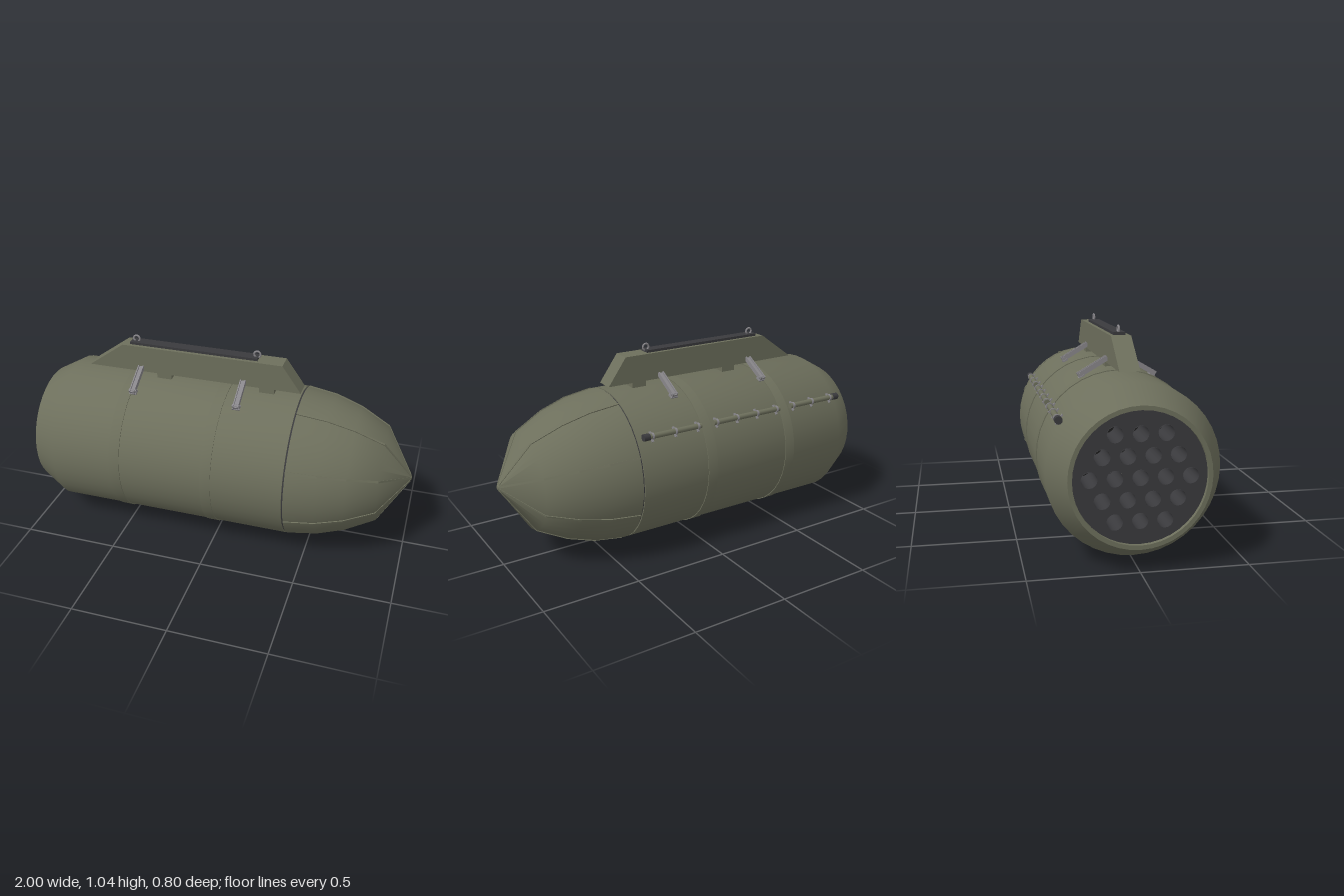
import * as THREE from 'three';
import { toCreasedNormals } from 'three/addons/utils/BufferGeometryUtils.js';

const mat = (color) => new THREE.MeshStandardMaterial({ color, side: THREE.DoubleSide });
const CY = 0.425; // height of the pod's axis
const R = 0.398;  // body radius

export function createModel() {
  const model = new THREE.Group();
  const olive = mat(0x6d6f5c), dark = mat(0x3a3a3d), steel = mat(0x88868a), black = mat(0x1c1c1c);

  const add = (name, geo, material, x = 0, y = 0, z = 0, parent = model) => {
    const m = new THREE.Mesh(geo, material);
    m.name = name;
    m.position.set(x, y, z);
    parent.add(m);
    return m;
  };
  const box = (w, h, d) => new THREE.BoxGeometry(w, h, d);
  // Profile of [x, radius] turned around the long axis
  const turned = (name, pts, material, segments = 40) => {
    const g = new THREE.LatheGeometry(pts.map(([x, r]) => new THREE.Vector2(r, x)), segments);
    g.rotateZ(-Math.PI / 2);
    return add(name, toCreasedNormals(g, 0.6), material, 0, CY, 0);
  };
  // Cylinder lying along x
  const rod = (r, length, sides = 12) => new THREE.CylinderGeometry(r, r, length, sides).rotateZ(Math.PI / 2);

  // Body with recessed rear lip, and nose fairing
  turned('body', [[-0.975, 0.3], [-1, 0.3], [-1, 0.32], [-0.86, R], [0.397, R], [0.397, 0.38]], olive);
  const nose = [[0.405, R], [0.56, 0.375], [0.7, 0.329], [0.85, 0.25], [0.995, 0.015]];
  turned('nose', [[0.405, 0.38], ...nose, [1, 0.01], [1, 0]], olive);
  turned('noseSeam', [[0.395, 0.392], [0.407, 0.392]], dark);

  // Thin ribs along the nose
  const ribShape = new THREE.Shape();
  nose.forEach(([x, r], i) => (i ? ribShape.lineTo(x, r + 0.004) : ribShape.moveTo(x, r + 0.004)));
  [...nose].reverse().forEach(([x, r]) => ribShape.lineTo(x, Math.max(r - 0.012, 0)));
  const ribGeo = new THREE.ExtrudeGeometry(ribShape, { depth: 0.01, bevelEnabled: false }).translate(0, 0, -0.005);
  for (let i = 0; i < 8; i++) {
    add('noseRib', ribGeo, olive, 0, CY, 0).rotation.x = (i + 0.5) * Math.PI / 4;
  }

  // Reinforcing bands with a lug beneath each
  for (const x of [-0.503, -0.003]) {
    turned('band', [[x - 0.028, 0.39], [x - 0.028, 0.402], [x + 0.028, 0.402], [x + 0.028, 0.39]], olive);
    add('bottomLug', box(0.075, 0.035, 0.05), steel, x, 0.0175, 0);
  }

  // Rear plate with a hexagonal pattern of launch tubes
  const plate = new THREE.Shape().absarc(0, 0, 0.302, 0, Math.PI * 2);
  const centres = [];
  for (let row = -2; row <= 2; row++) {
    const n = 5 - Math.abs(row);
    for (let i = 0; i < n; i++) centres.push([(i - (n - 1) / 2) * 0.112, row * 0.097]);
  }
  for (const [u, v] of centres) plate.holes.push(new THREE.Path().absarc(u, v, 0.036, 0, Math.PI * 2, true));
  const plateGeo = new THREE.ExtrudeGeometry(plate, { depth: 0.02, bevelEnabled: false, curveSegments: 20 });
  add('rearPlate', plateGeo.rotateY(-Math.PI / 2), dark, -0.96, CY, 0);
  const tubeGeo = new THREE.CylinderGeometry(0.036, 0.036, 0.2, 16, 1, true).rotateZ(Math.PI / 2);
  const endGeo = new THREE.CircleGeometry(0.036, 16).rotateY(-Math.PI / 2);
  for (const [u, v] of centres) {
    add('launchTube', tubeGeo, dark, -0.885, CY + v, u);
    add('launchTubeEnd', endGeo, black, -0.79, CY + v, u);
  }

  // Pylon, its feet and the top rail
  const side = new THREE.Shape([[-0.76, 0.85], [0.4, 0.85], [0.3, 0.99], [-0.565, 0.99]].map((p) => new THREE.Vector2(...p)));
  add('pylon', new THREE.ExtrudeGeometry(side, { depth: 0.096, bevelEnabled: false }), olive, 0, 0, -0.048);
  for (const x of [-0.34, 0.22]) add('pylonFoot', box(0.08, 0.05, 0.08), olive, x, 0.83, 0);
  add('topRail', box(0.695, 0.016, 0.058), dark, -0.183, 0.995, 0);
  for (const x of [-0.502, 0.157]) {
    add('liftingEye', new THREE.TorusGeometry(0.017, 0.005, 8, 20), steel, x, 1.014, 0);
  }

  // Sway braces: slanted channels with a pad and an end pin
  for (const x of [-0.465, 0.097]) {
    for (const s of [1, -1]) {
      const brace = new THREE.Group();
      brace.name = 'swayBrace';
      brace.position.set(x, 0.833, s * 0.117);
      brace.rotation.x = s * 0.53;
      model.add(brace);
      add('braceWeb', box(0.026, 0.012, 0.165), steel, 0, 0, 0, brace);
      for (const e of [-1, 1]) add('braceFlange', box(0.006, 0.024, 0.165), steel, e * 0.012, 0.002, 0, brace);
      add('bracePad', box(0.04, 0.014, 0.03), steel, 0, -0.014, s * 0.07, brace);
      add('bracePin', rod(0.008, 0.04), steel, 0, 0.002, s * 0.07, brace);
    }
  }

  // Cable conduit in three runs between the bands, with clamps and dark end caps
  const cy = 0.666, cz = -0.337;
  for (const [a, b, n] of [[-0.84, -0.54, 3], [-0.465, -0.04, 4], [0.035, 0.34, 3]]) {
    add('conduit', rod(0.014, b - a), olive, (a + b) / 2, cy, cz);
    for (let i = 0; i < n; i++) {
      const x = a + 0.02 + (b - a - 0.04) * i / (n - 1);
      add('conduitClamp', rod(0.018, 0.01), steel, x, cy, cz);
      add('clampFoot', box(0.012, 0.006, 0.054), steel, x, cy - 0.006, cz + 0.009).rotation.x = -0.95;
    }
  }
  for (const x of [-0.857, 0.354]) add('conduitCap', rod(0.018, 0.034), dark, x, cy, cz);

  return model;
}
